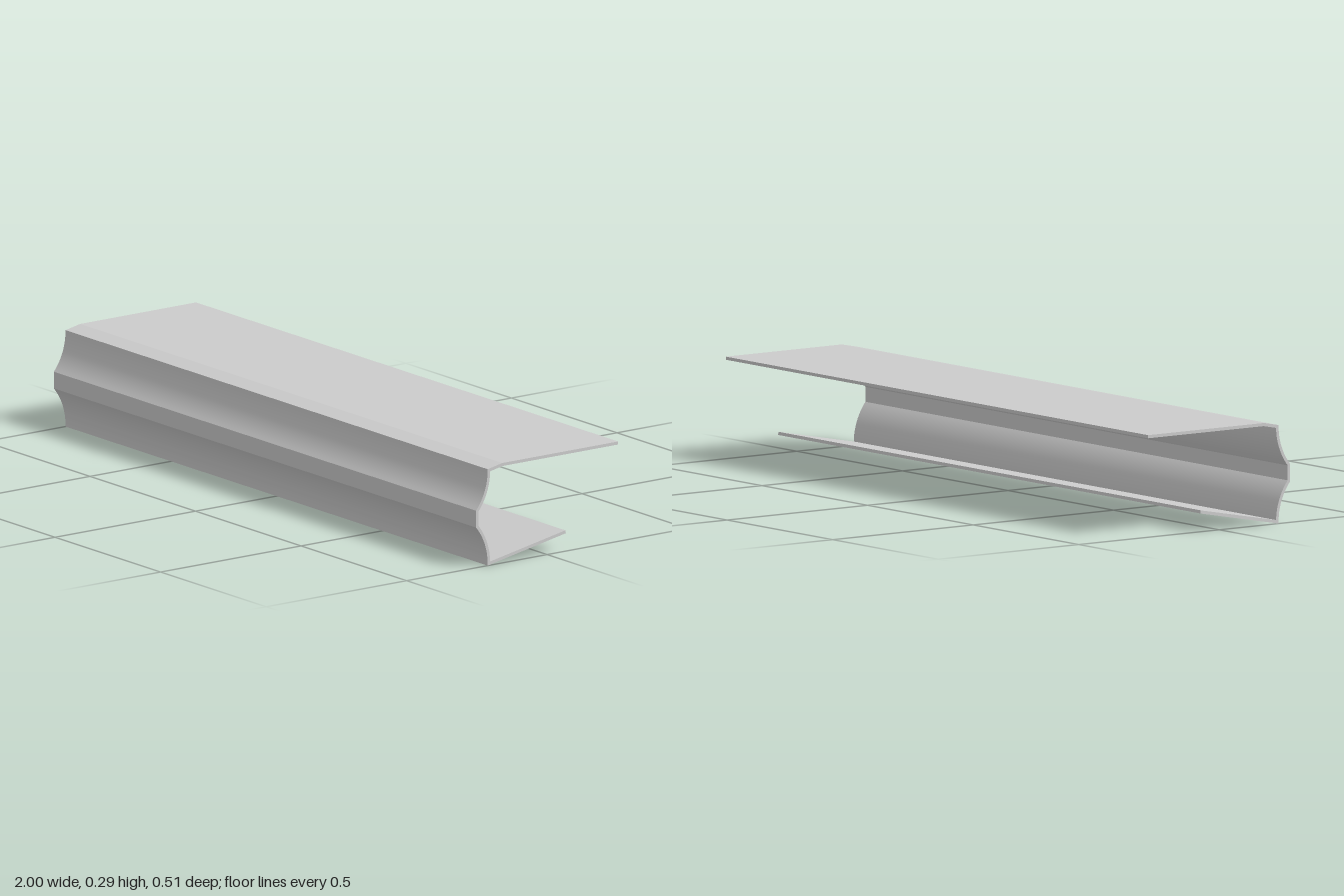
import * as THREE from 'three';
import { toCreasedNormals } from 'three/addons/utils/BufferGeometryUtils.js';

const LENGTH = 2, HALF = 0.0045, ARC_STEPS = 14;

// Concave cove: starts upright at (z0, y0) and flares forward to (z1, y1)
function cove(z0, y0, z1, y1) {
  const dz = z1 - z0, dy = y1 - y0;
  const r = (dz * dz + dy * dy) / (2 * dz);
  const sweep = Math.asin(Math.abs(dy) / r);
  return Array.from({ length: ARC_STEPS + 1 }, (_, i) => {
    const a = sweep * i / ARC_STEPS;
    return new THREE.Vector2(z0 + r * (1 - Math.cos(a)), y0 + Math.sign(dy) * r * Math.sin(a));
  });
}

// Offset an open path sideways with mitred corners
function offset(path, d) {
  const normal = (a, b) => {
    const t = b.clone().sub(a).normalize();
    return new THREE.Vector2(-t.y, t.x);
  };
  return path.map((p, i) => {
    const n0 = normal(path[Math.max(i - 1, 0)], path[Math.max(i, 1)]);
    const last = path.length - 1;
    const n1 = normal(path[Math.min(i, last - 1)], path[Math.min(i + 1, last)]);
    const m = n0.clone().add(n1).normalize();
    return p.clone().addScaledVector(m, d / m.dot(n0));
  });
}

export function createModel() {
  const group = new THREE.Group();
  group.name = 'moulding';

  // Sheet centreline as (z, y): top flange, upper cove, front band, lower cove, bottom flange
  const path = [
    new THREE.Vector2(-0.253, 0.289),
    new THREE.Vector2(0.159, 0.289),
    ...cove(0.207, 0.2795, 0.2485, 0.166),
    ...cove(0.207, 0.0055, 0.2485, 0.12).reverse(),
    new THREE.Vector2(-0.066, 0.057),
  ];

  // Thicken the centreline and run it along x
  const outline = [...offset(path, HALF), ...offset(path, -HALF).reverse()];
  const shape = new THREE.Shape(outline.map(p => new THREE.Vector2(-p.x, p.y)));
  const extruded = new THREE.ExtrudeGeometry(shape, { depth: LENGTH, bevelEnabled: false, steps: 1 });
  extruded.translate(0, 0, -LENGTH / 2).rotateY(Math.PI / 2);

  const profile = new THREE.Mesh(
    toCreasedNormals(extruded, 0.12),
    new THREE.MeshStandardMaterial({ color: 0xcccccc })
  );
  profile.name = 'bentSheetProfile';
  group.add(profile);
  return group;
}
